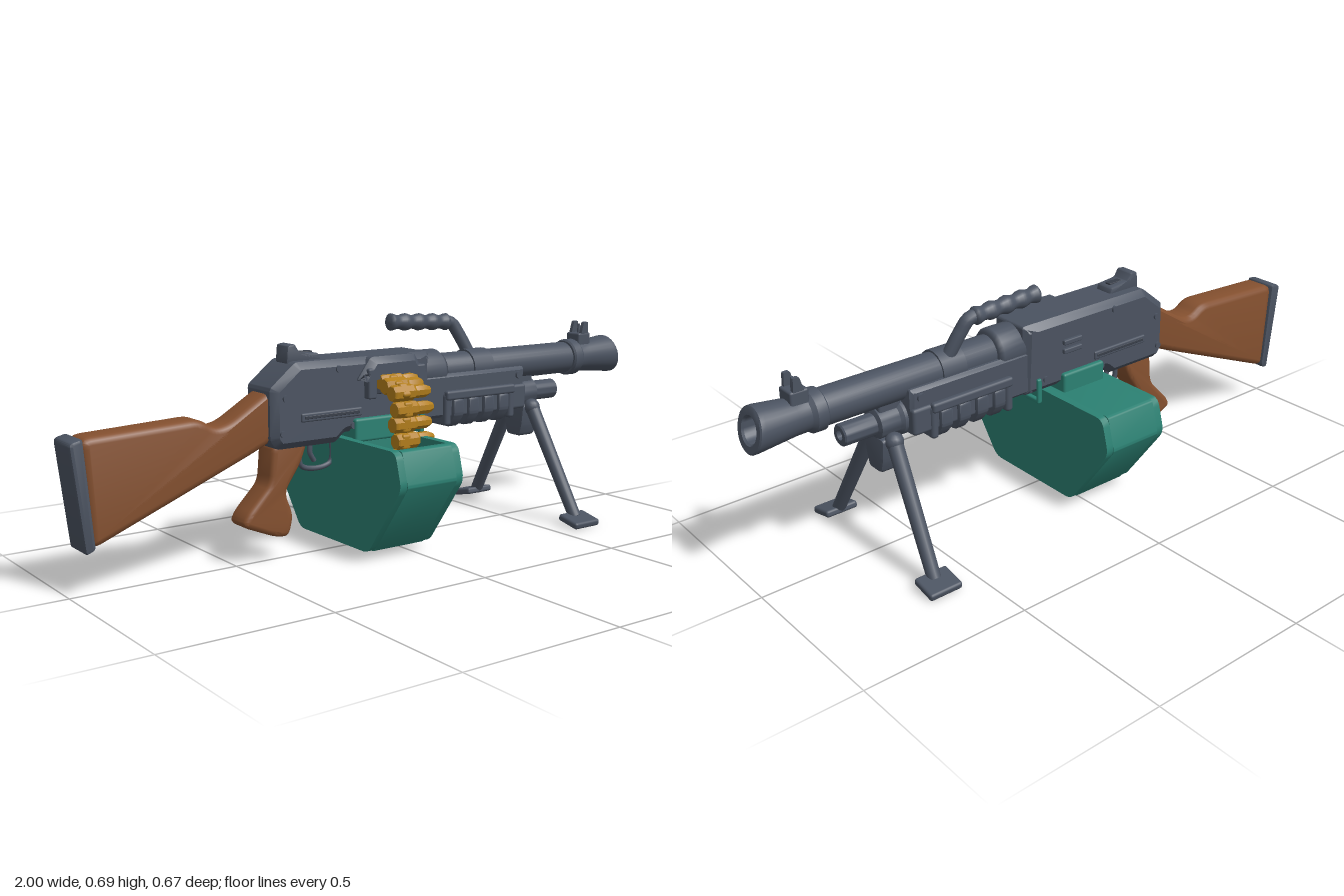
import * as THREE from 'three';
import { toCreasedNormals } from 'three/addons/utils/BufferGeometryUtils.js';
import { RoundedBoxGeometry } from 'three/addons/geometries/RoundedBoxGeometry.js';

const mat = (name, color) => Object.assign(new THREE.MeshStandardMaterial({ color }), { name });
const metal = mat('gunmetal', 0x4b5361);
const dark = mat('dark metal', 0x383e49);
const wood = mat('wood', 0x84502f);
const teal = mat('teal', 0x2b8072);
const brass = mat('brass', 0xb27e1b);

const V = (x, y, z) => new THREE.Vector3(x, y, z);

// closed outline with softened corners
function outline(pts, r) {
  const s = new THREE.Shape(), n = pts.length;
  const P = pts.map(p => new THREE.Vector2(p[0], p[1]));
  for (let i = 0; i < n; i++) {
    const c = P[i], toward = q => {
      const d = q.clone().sub(c);
      return c.clone().add(d.setLength(Math.min(r, d.length() * 0.45)));
    };
    const a = toward(P[(i + n - 1) % n]), b = toward(P[(i + 1) % n]);
    if (i) s.lineTo(a.x, a.y); else s.moveTo(a.x, a.y);
    if (r > 0) s.quadraticCurveTo(c.x, c.y, b.x, b.y);
  }
  s.closePath();
  return s;
}

// slab of an outline between z0 and z1, with bevelled edges
function slab(pts, z0, z1, { r = 0, bevel = 0, seg = 1 } = {}) {
  const g = new THREE.ExtrudeGeometry(outline(pts, r), {
    depth: z1 - z0 - 2 * bevel, bevelEnabled: bevel > 0, bevelThickness: bevel,
    bevelSize: bevel, bevelOffset: -bevel, bevelSegments: seg, curveSegments: 5,
  });
  g.translate(0, 0, z0 + bevel);
  return toCreasedNormals(g, 0.6);
}

// turned part along x from [radius, x] pairs
function turned(pts, seg = 28) {
  const g = new THREE.LatheGeometry(pts.map(p => new THREE.Vector2(p[0], p[1])), seg);
  g.rotateZ(-Math.PI / 2);
  return g;
}

export function createModel() {
  const model = new THREE.Group();
  const gun = new THREE.Group();
  gun.name = 'gun';
  gun.position.z = -0.012;
  model.add(gun);

  const add = (name, geo, material, x = 0, y = 0, z = 0, parent = gun) => {
    const m = new THREE.Mesh(geo, material);
    m.name = name;
    m.position.set(x, y, z);
    parent.add(m);
    return m;
  };
  const box = (name, material, w, h, d, x, y, z, r = 0.006, parent = gun) =>
    add(name, new RoundedBoxGeometry(w, h, d, 2, r), material, x, y, z, parent);
  const rod = (name, material, a, b, ra, rb = ra, parent = gun) => {
    const d = b.clone().sub(a);
    const m = add(name, new THREE.CylinderGeometry(rb, ra, d.length(), 18), material, 0, 0, 0, parent);
    m.position.copy(a).addScaledVector(d, 0.5);
    m.quaternion.setFromUnitVectors(V(0, 1, 0), d.normalize());
    return m;
  };

  // shoulder stock and butt plate
  add('stock', slab([[-0.965, 0.427], [-0.62, 0.443], [-0.575, 0.412], [-0.53, 0.42], [-0.39, 0.505],
    [-0.39, 0.355], [-0.47, 0.32], [-0.945, 0.128]], -0.05, 0.05, { r: 0.03, bevel: 0.02, seg: 3 }), wood);
  add('buttPlate', slab([[-1, 0.42], [-0.96, 0.43], [-0.935, 0.13], [-0.965, 0.118]], -0.056, 0.056,
    { r: 0.012, bevel: 0.01, seg: 2 }), metal);

  // pistol grip
  add('grip', slab([[-0.39, 0.345], [-0.27, 0.345], [-0.295, 0.28], [-0.35, 0.2], [-0.322, 0.13],
    [-0.338, 0.068], [-0.38, 0.072], [-0.492, 0.118], [-0.478, 0.15], [-0.4, 0.23]], -0.045, 0.045,
  { r: 0.025, bevel: 0.015, seg: 3 }), wood);

  // receiver, feed cover and lower body
  add('receiver', slab([[-0.41, 0.36], [-0.41, 0.508], [-0.325, 0.577], [0.15, 0.577], [0.15, 0.36],
    [-0.16, 0.36], [-0.19, 0.333], [-0.39, 0.333]], -0.08, 0.08, { r: 0.01, bevel: 0.02 }), metal);
  add('lowerBody', slab([[0.08, 0.365], [0.08, 0.5], [0.545, 0.5], [0.545, 0.365]], -0.07, 0.07,
    { r: 0.008, bevel: 0.01 }), metal);
  add('feedCover', slab([[-0.13, 0.51], [-0.08, 0.577], [0.08, 0.577], [0.12, 0.51]], -0.06, 0.105,
    { r: 0.01, bevel: 0.02 }), metal);
  for (const x of [-0.085, 0.095]) box('feedPost', metal, 0.03, 0.09, 0.05, x, 0.5, 0.08);
  box('feedOpening', dark, 0.15, 0.06, 0.008, 0.005, 0.495, 0.082, 0.003);

  // side slots, rivets and side knobs
  for (const s of [-1, 1]) {
    box('sideRail', metal, 0.21, 0.026, 0.012, -0.215, 0.42, s * 0.08, 0.005);
    box('sideSlot', dark, 0.19, 0.009, 0.004, -0.215, 0.42, s * 0.0855, 0.0015);
    for (const [x, y] of [[-0.38, 0.38], [-0.37, 0.48], [-0.19, 0.55], [-0.14, 0.38], [0.08, 0.4]])
      rod('rivet', metal, V(x, y, s * 0.07), V(x, y, s * 0.086), 0.01);
    rod('bodyPin', metal, V(0.515, 0.475, s * 0.06), V(0.515, 0.475, s * 0.078), 0.012);
  }
  for (const y of [0.47, 0.498]) box('backLatch', metal, 0.07, 0.016, 0.02, -0.02, y, -0.08, 0.004);

  // barrel, collar and flared muzzle with a slanted mouth
  add('barrelCollar', turned([[0, 0.1], [0.068, 0.1], [0.068, 0.22], [0.058, 0.235], [0, 0.235]]), metal, 0, 0.505);
  add('barrel', turned([[0, 0.2], [0.052, 0.2], [0.052, 0.78], [0.048, 0.785], [0.048, 0.82], [0, 0.82]]), metal, 0, 0.505);
  const mouth = turned([[0.04, 0.785], [0.055, 0.785], [0.06, 0.79], [0.06, 0.82], [0.051, 0.832], [0.052, 0.87],
    [0.063, 0.972], [0.063, 0.985], [0.058, 0.988], [0.04, 0.988], [0.036, 0.982], [0.036, 0.88], [0, 0.88]]);
  const mp = mouth.attributes.position;
  for (let i = 0; i < mp.count; i++) if (mp.getX(i) > 0.96) mp.setX(i, mp.getX(i) - mp.getY(i) * 0.2);
  add('muzzle', toCreasedNormals(mouth, 0.5), metal, 0, 0.505);

  // gas tube under the barrel
  add('gasTube', toCreasedNormals(turned([[0, 0.5], [0.054, 0.5], [0.054, 0.555], [0.046, 0.565], [0.046, 0.625],
    [0.032, 0.63], [0.032, 0.728], [0.028, 0.732], [0.014, 0.732], [0.014, 0.68], [0, 0.68]]), 0.5), metal, 0, 0.404);
  box('gasBlock', metal, 0.07, 0.06, 0.05, 0.585, 0.455, 0);

  // ribbed handguard
  box('handguard', metal, 0.34, 0.08, 0.155, 0.375, 0.405, 0, 0.01);
  for (const s of [-1, 1]) box('guardPanel', metal, 0.28, 0.03, 0.022, 0.347, 0.435, s * 0.08, 0.008);
  for (let i = 0; i < 4; i++) {
    const x = 0.255 + i * 0.062;
    add('guardRib', slab([[-0.09, 0.425], [0.09, 0.425], [0.09, 0.37], [0.06, 0.332], [-0.06, 0.332], [-0.09, 0.37]],
      -0.021, 0.021, { r: 0.012, bevel: 0.008, seg: 2 }).rotateY(Math.PI / 2), metal, x);
  }
  for (const x of [0.217, 0.478]) box('guardEnd', metal, 0.024, 0.1, 0.17, x, 0.39, 0, 0.01);

  // carrying handle: curved post and finger-grooved grip
  const grooves = [[0, 0], [0.018, 0.003]];
  for (let i = 0; i <= 32; i++) grooves.push([0.024 + 0.003 * Math.cos(i / 32 * Math.PI * 8), 0.01 + i * 0.0068]);
  grooves.push([0.018, 0.236], [0, 0.238]);
  const handle = add('handleGrip', turned(grooves, 16), metal, 0.078, 0.66, -0.045);
  handle.rotation.z = -0.05;
  const post = new THREE.CatmullRomCurve3([V(0.27, 0.65, -0.045), V(0.325, 0.645, -0.043), V(0.35, 0.61, -0.035),
    V(0.385, 0.54, -0.02)]);
  add('handlePost', new THREE.TubeGeometry(post, 16, 0.02, 12), metal);
  rod('handleCollar', metal, V(0.345, 0.505, 0), V(0.425, 0.505, 0), 0.058);

  // rear sight
  add('rearSight', slab([[-0.335, 0.57], [-0.33, 0.622], [-0.305, 0.625], [-0.29, 0.6], [-0.225, 0.594],
    [-0.215, 0.57]], -0.032, 0.032, { r: 0.006, bevel: 0.006, seg: 2 }), metal);
  box('rearSightNotch', dark, 0.05, 0.006, 0.022, -0.26, 0.597, 0, 0.002);

  // front sight with two ears and a blade
  box('frontSightBase', metal, 0.055, 0.05, 0.06, 0.853, 0.56, 0);
  for (const s of [-1, 1]) add('frontSightEar', slab([[0.835, 0.57], [0.85, 0.622], [0.868, 0.622], [0.872, 0.57]],
    -0.006, 0.006, { r: 0.004 }), metal, 0, 0, s * 0.023);
  rod('frontSightBlade', metal, V(0.855, 0.57, 0), V(0.855, 0.615, 0), 0.008, 0.004);

  // trigger and its guard
  const guard = new THREE.CatmullRomCurve3([V(-0.275, 0.34, 0), V(-0.272, 0.265, 0), V(-0.245, 0.252, 0),
    V(-0.19, 0.252, 0), V(-0.166, 0.265, 0), V(-0.163, 0.34, 0)]);
  add('triggerGuard', new THREE.TubeGeometry(guard, 30, 0.008, 8), metal);
  const pull = new THREE.CatmullRomCurve3([V(-0.235, 0.34, 0), V(-0.24, 0.3, 0), V(-0.225, 0.272, 0)]);
  add('trigger', new THREE.TubeGeometry(pull, 8, 0.008, 8), metal);

  // bipod
  add('bipodHub', slab([[-0.05, 0.37], [0.05, 0.37], [0.042, 0.3], [0.03, 0.262], [-0.03, 0.262], [-0.042, 0.3]],
    0.56, 0.63, { r: 0.012, bevel: 0.01, seg: 2 }).rotateY(Math.PI / 2), metal);
  for (const s of [-1, 1]) {
    rod('bipodLeg', metal, V(0.595, 0.365, s * 0.05), V(0.615, 0.025, s * 0.243), 0.023, 0.02);
    add('bipodJoint', new THREE.SphereGeometry(0.027, 14, 10), metal, 0.595, 0.36, s * 0.052);
    const foot = box('bipodFoot', metal, 0.105, 0.022, 0.083, 0.615, 0.019, s * 0.262, 0.008);
    foot.rotation.x = s * 0.22;
  }

  // ammunition box: solid ends, and a middle with an open pocket on one side
  const shell = [[-0.31, 0.342], [-0.338, 0.24], [-0.18, 0.025], [0.18, 0.025], [0.338, 0.24], [0.31, 0.342]];
  const pocket = [[-0.07, 0.342], [-0.07, 0.1], [-0.2, 0.1], [-0.29, 0.225], [-0.275, 0.342]];
  const ammo = new THREE.Group();
  ammo.name = 'ammoBox';
  model.add(ammo);
  for (const x of [-0.168, 0.032])
    add('boxEnd', slab(shell, 0, 0.024, { r: 0.025 }).rotateY(Math.PI / 2), teal, x, 0, 0, ammo);
  add('boxMiddle', slab([...shell, ...pocket], -0.144, 0.032, { r: 0.012 }).rotateY(Math.PI / 2), teal, 0, 0, 0, ammo);
  box('boxMount', teal, 0.16, 0.07, 0.19, -0.06, 0.365, -0.012, 0.008, ammo);

  // retaining clip ahead of the box
  for (const s of [-1, 1]) box('clipArm', teal, 0.016, 0.078, 0.012, 0.11, 0.372, s * 0.085, 0.005);
  box('clipBase', teal, 0.016, 0.014, 0.18, 0.11, 0.34, 0, 0.005);

  // belt of cartridges curving down into the box
  const belt = new THREE.Group();
  belt.name = 'ammoBelt';
  model.add(belt);
  const round = toCreasedNormals(turned([[0, -0.06], [0.022, -0.06], [0.025, -0.055], [0.025, 0.012], [0.019, 0.022],
    [0.02, 0.026], [0.02, 0.06], [0.013, 0.078], [0, 0.082]], 8), 0.4);
  const path = [[0.085, 0.503, 0.2], [0.11, 0.492, 0.4], [0.146, 0.475, 0.9], [0.16, 0.428, 1.5],
    [0.151, 0.383, 1.6], [0.149, 0.333, 1.6], [0.14, 0.285, 1.7]];
  path.forEach(([z, y, turn], i) => {
    const c = add('cartridge', round, brass, i > 4 ? 0.012 : 0, y, z, belt);
    c.rotation.x = turn + Math.PI / 8;
    box('beltLink', brass, 0.03, 0.046, 0.046, -0.02, y, z, 0.008, belt).rotation.x = turn;
  });

  return model;
}
